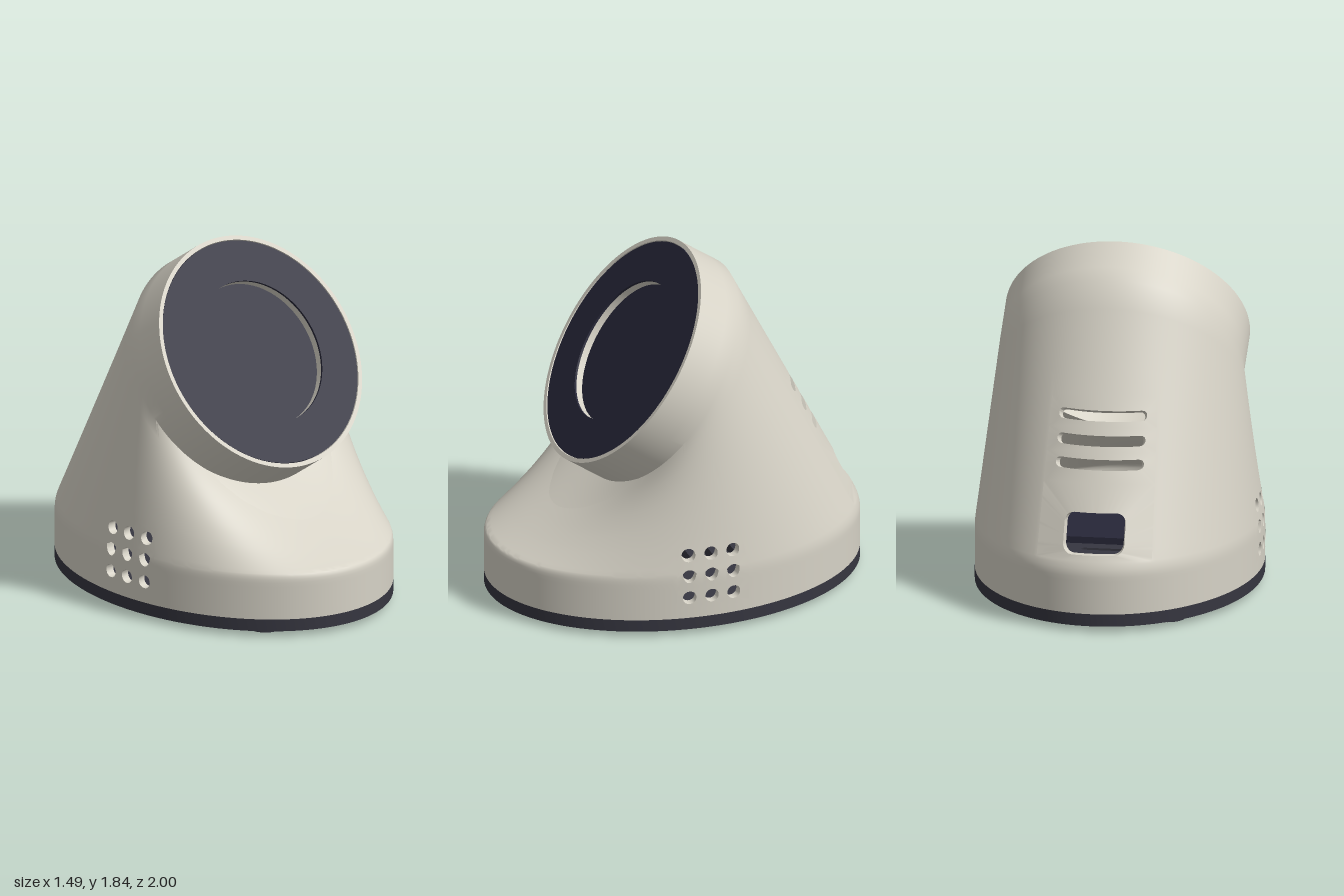
import * as THREE from 'three';
import { toCreasedNormals } from 'three/addons/utils/BufferGeometryUtils.js';

const WALL = 0.045;
const shellMat = new THREE.MeshStandardMaterial({ name: 'warm grey shell', color: 0xd6d2c6, side: THREE.DoubleSide });
const panelMat = new THREE.MeshStandardMaterial({ name: 'navy black panel', color: 0x272738 });
const baseMat = new THREE.MeshStandardMaterial({ name: 'charcoal base', color: 0x363640 });

// Shell surface: a = angle in degrees, v = 0..1 wall, 1..2 loft, 2..3 tilted head; o = 0 outside, 1 inside
function rawPoint(a, v, o) {
  const t = THREE.MathUtils.degToRad(a), c = Math.cos(t), s = Math.sin(t);
  const k = o * (v > 2 ? WALL + (0.023 - WALL) * (v - 2) : WALL);
  const oval = y => new THREE.Vector3((0.745 - k) * c, y, (1 - k) * s);
  const ring = d => {
    const r = 0.637 - k;
    return new THREE.Vector3(r * c, 1.173 + 0.575 * d - 0.819 * r * s, 0.065 + 0.819 * d + 0.575 * r * s);
  };
  if (v <= 1) return oval(0.095 + 0.235 * v);
  if (v >= 2) return ring(0.255 * (v - 2));
  const w = v - 1, p = oval(0.33).lerp(ring(0), w);
  p.y -= 0.07 * Math.max(0, s) ** 2 * w * (1 - w);
  return p;
}

// Same surface with a small rounded shoulder at v = 1
function point(a, v, o) {
  const lo = 0.85, hi = 1.03;
  if (v <= lo || v >= hi) return rawPoint(a, v, o);
  const t = (v - lo) / (hi - lo);
  const A = rawPoint(a, lo, o), B = rawPoint(a, 1, o), C = rawPoint(a, hi, o);
  return A.lerp(B, t).lerp(B.lerp(C, t), t);
}

// Find (a, v) for a position on the shell given as (x or z, y)
function locate(axis, h, y, a, v) {
  for (let i = 0; i < 10; i++) {
    const p = rawPoint(a, v, 0), pa = rawPoint(a + 0.01, v, 0), pv = rawPoint(a, v + 0.0001, 0);
    const ha = (pa[axis] - p[axis]) / 0.01, hv = (pv[axis] - p[axis]) / 0.0001;
    const ya = (pa.y - p.y) / 0.01, yv = (pv.y - p.y) / 0.0001;
    const eh = h - p[axis], ey = y - p.y, det = ha * yv - hv * ya;
    a += (eh * yv - hv * ey) / det;
    v += (ha * ey - eh * ya) / det;
  }
  return [a, v];
}

// Openings: the tile of the shell they sit in, and their place, half size and corner radius
function listOpenings() {
  const list = [];
  const zs = [-0.07, 0.05, 0.17], aEdges = [-9, -1.5, 6, 13.5];
  const ys = [0.21, 0.33, 0.445], vEdges = [0.2, 0.75, 1.07, 1.24];
  for (let i = 0; i < 3; i++) for (let j = 0; j < 3; j++) {
    const hole = { axis: 'z', h: zs[i], y: ys[j], hw: 0.036, hh: 0.036, r: 0.036, v0: vEdges[j], v1: vEdges[j + 1], n: 6 };
    list.push({ ...hole, dir: 1, a0: aEdges[i], a1: aEdges[i + 1] });
    list.push({ ...hole, dir: -1, a0: 180 - aEdges[i + 1], a1: 180 - aEdges[i] });
  }
  const back = { axis: 'x', h: 0, dir: 1, a0: 246, a1: 294, n: 32 };
  list.push({ ...back, y: 0.5, hw: 0.16, hh: 0.1, r: 0.05, v0: 1.03, v1: 1.3 });
  [[0.825, 1.3, 1.41], [0.937, 1.41, 1.495], [1.055, 1.495, 1.61]].forEach(([y, v0, v1]) =>
    list.push({ ...back, y, hw: 0.23, hh: 0.025, r: 0.025, v0, v1 }));
  return list;
}

function shellGeometry() {
  const pos = [];
  const quad = (A, B, C, D) => [A, B, C, A, C, D].forEach(p => pos.push(p.x, p.y, p.z));
  const openings = listOpenings();
  const rows = [0, 0.2, 0.5, 0.75, 0.85, 0.9, 0.95, 1, 1.03, 1.07, 1.15, 1.24, 1.3, 1.41, 1.495, 1.61, 1.7, 1.8, 1.9, 2, 2.33, 2.67, 3];
  const step = 1.5;
  // Plain skin, skipping the tiles that hold openings
  for (let a = -30; a < 330; a += step) {
    for (let j = 0; j + 1 < rows.length; j++) {
      const am = a + step / 2, vm = (rows[j] + rows[j + 1]) / 2;
      if (openings.some(q => am > q.a0 && am < q.a1 && vm > q.v0 && vm < q.v1)) continue;
      for (const o of [0, 1]) {
        quad(point(a, rows[j], o), point(a, rows[j + 1], o), point(a + step, rows[j + 1], o), point(a + step, rows[j], o));
      }
    }
    // Front rim
    quad(point(a, 3, 0), point(a, 3, 1), point(a + step, 3, 1), point(a + step, 3, 0));
  }
  // Tiles with openings, and the walls through the shell
  for (const q of openings) {
    const am = (q.a0 + q.a1) / 2, vm = (q.v0 + q.v1) / 2, loop = [];
    for (let side = 0; side < 4; side++) for (let i = 0; i < q.n; i++) {
      const t = -1 + 2 * i / q.n;
      const [u, w] = [[t, -1], [1, t], [-t, 1], [-1, -t]][side];
      const bx = q.hw - q.r, by = q.hh - q.r;
      const cx = THREE.MathUtils.clamp(u * q.hw, -bx, bx), cy = THREE.MathUtils.clamp(w * q.hh, -by, by);
      const dx = u * q.hw - cx, dy = w * q.hh - cy, len = Math.hypot(dx, dy) || 1;
      const hx = cx + q.r * dx / len, hy = cy + q.r * dy / len;
      loop.push({
        edge: [am + u * (q.a1 - q.a0) / 2, vm + w * (q.v1 - q.v0) / 2],
        hole: locate(q.axis, q.h + q.dir * hx, q.y + hy, am, vm),
      });
    }
    loop.forEach((p, i) => {
      const n = loop[(i + 1) % loop.length];
      for (const o of [0, 1]) quad(point(...p.edge, o), point(...p.hole, o), point(...n.hole, o), point(...n.edge, o));
      quad(point(...p.hole, 0), point(...p.hole, 1), point(...n.hole, 1), point(...n.hole, 0));
    });
  }
  const g = new THREE.BufferGeometry();
  g.setAttribute('position', new THREE.Float32BufferAttribute(pos, 3));
  return toCreasedNormals(g, 0.6);
}

function add(parent, name, geometry, material, x = 0, y = 0, z = 0) {
  const m = new THREE.Mesh(geometry, material);
  m.name = name;
  m.position.set(x, y, z);
  parent.add(m);
  return m;
}

const circlePath = (x, y, r) => new THREE.Path().absarc(x, y, r, 0, Math.PI * 2, true);

function slotPath(y, half, r) {
  const p = new THREE.Path();
  p.absarc(half - r, y, r, -Math.PI / 2, Math.PI / 2, false);
  p.absarc(-half + r, y, r, Math.PI / 2, Math.PI * 1.5, false);
  p.closePath();
  return p;
}

export function createModel() {
  const model = new THREE.Group();
  model.name = 'tiltedDeskUnit';
  add(model, 'shell', shellGeometry(), shellMat);

  // Tilted display: dark bezel, pale recess wall, dark floor
  const head = new THREE.Group();
  head.name = 'display';
  head.position.set(0, 1.32, 0.274);
  head.rotation.x = -0.612;
  model.add(head);
  const bezel = new THREE.Shape().absarc(0, 0, 0.611, 0, Math.PI * 2, false);
  bezel.holes.push(circlePath(0, 0, 0.39));
  add(head, 'bezel', new THREE.ExtrudeGeometry(bezel, { depth: 0.012, bevelEnabled: false, curveSegments: 96 }), panelMat, 0, 0, -0.016);
  const wall = new THREE.CylinderGeometry(0.39, 0.39, 0.04, 96, 1, true).rotateX(Math.PI / 2);
  add(head, 'recessWall', wall, shellMat, 0, 0, -0.036);
  const floor = new THREE.CylinderGeometry(0.605, 0.605, 0.012, 96).rotateX(Math.PI / 2);
  add(head, 'screen', floor, panelMat, 0, 0, -0.06);

  // Base plate with vents and screw wells
  const screws = [], feet = [];
  for (const sx of [-1, 1]) for (const sz of [-1, 1]) {
    screws.push([sx * 0.56, sz * 0.44]);
    feet.push([sx * 0.35, sz * 0.675]);
  }
  const plate = new THREE.Shape().absellipse(0, 0, 0.745, 1, 0, Math.PI * 2, false);
  screws.forEach(([x, z]) => plate.holes.push(circlePath(x, z, 0.06)));
  for (let i = 0; i < 6; i++) plate.holes.push(slotPath(-0.3 + i * 0.12, 0.23, 0.018));
  const plateGeo = new THREE.ExtrudeGeometry(plate, { depth: 0.065, bevelEnabled: false, curveSegments: 64 }).rotateX(-Math.PI / 2);
  add(model, 'basePlate', toCreasedNormals(plateGeo, 0.5), baseMat, 0, 0.03, 0);
  for (const [x, z] of screws) {
    const well = new THREE.Shape().absarc(0, 0, 0.061, 0, Math.PI * 2, false);
    well.holes.push(circlePath(0, 0, 0.03));
    const g = new THREE.ExtrudeGeometry(well, { depth: 0.03, bevelEnabled: false, curveSegments: 24 }).rotateX(-Math.PI / 2);
    add(model, 'screwWell', g, baseMat, x, 0.06, z);
  }
  for (const [x, z] of feet) add(model, 'foot', new THREE.CylinderGeometry(0.093, 0.093, 0.032, 40), baseMat, x, 0.016, z);

  // Board inside, seen through the openings
  add(model, 'innerBoard', new THREE.BoxGeometry(0.6, 0.035, 1.0), panelMat, 0, 0.425, -0.27);
  return model;
}
